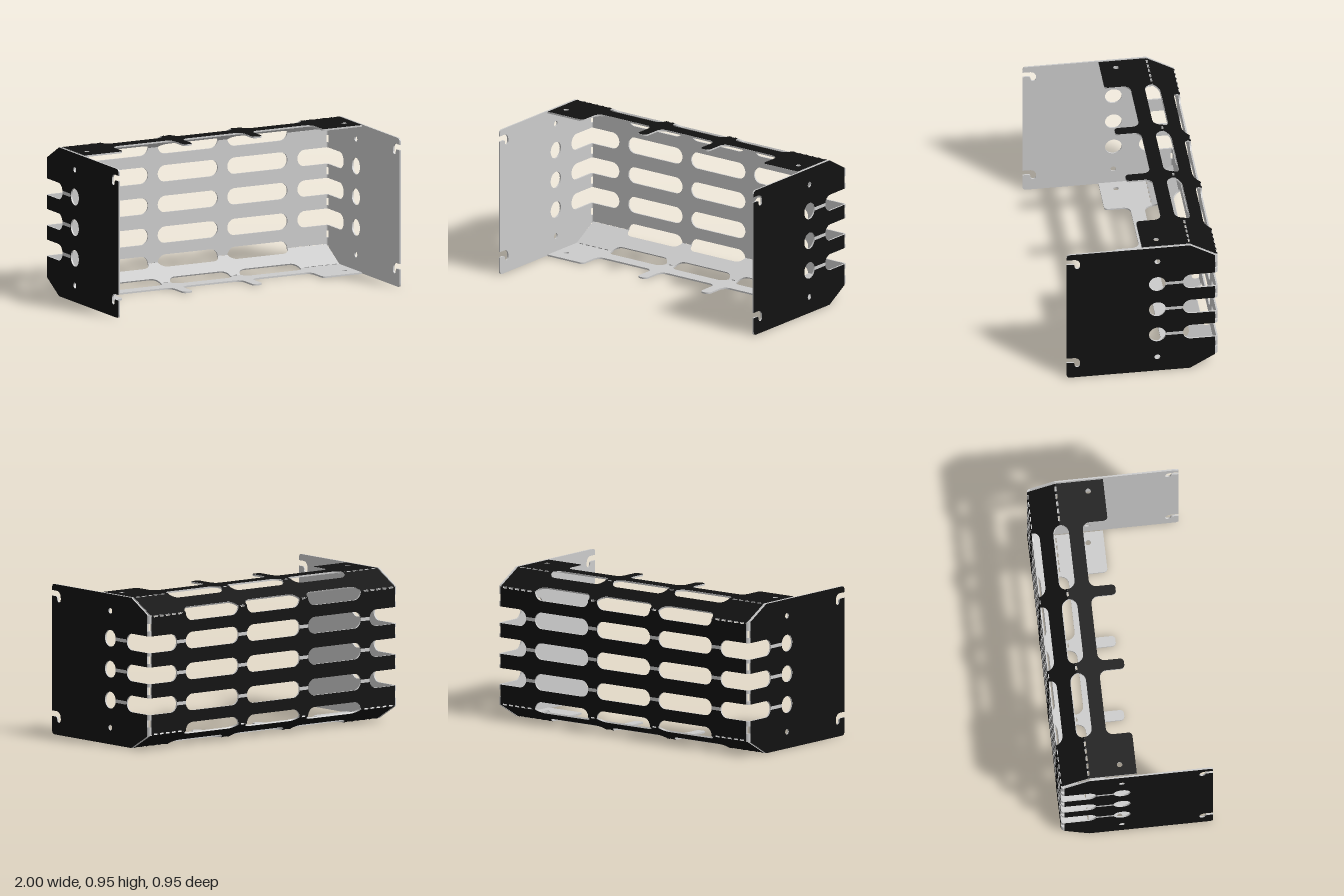
import * as THREE from 'three';

const T = 0.01, H = 0.945, W = 0.98, R = 0.0525;
const ROWS = [0.278, 0.4725, 0.667];
const SLOTS = [-0.4925, 0, 0.4925], SLOT_HALF = 0.2125;
const grey = new THREE.MeshStandardMaterial({ color: 0xcccccc });
const black = new THREE.MeshStandardMaterial({ color: 0x111111 });
const V2 = (x, y) => new THREE.Vector2(x, y);

// Points of one edge from a towards b, with rounded notches cut to its left.
// Each notch: centre along the edge, half width, depth, inner radius, mouth radius
function edge(a, b, notches = []) {
  const d = b.clone().sub(a).normalize(), n = V2(-d.y, d.x), pts = [a.clone()];
  const put = (t, s) => pts.push(a.clone().addScaledVector(d, t).addScaledVector(n, s));
  const arc = (t, s, r, from, to) => {
    const k = r > 0 ? 8 : 0;
    for (let i = 0; i <= k; i++) {
      const w = from + (to - from) * (k ? i / k : 0);
      put(t + r * Math.cos(w), s + r * Math.sin(w));
    }
  };
  const q = Math.PI / 2;
  for (const [c, h, depth, r, m = 0] of [...notches].sort((p, o) => p[0] - o[0])) {
    arc(c - h - m, m, m, -q, 0);
    arc(c - h + r, depth - r, r, 2 * q, q);
    arc(c + h - r, depth - r, r, q, 0);
    arc(c + h + m, m, m, 2 * q, 3 * q);
  }
  return pts;
}

function circle(x, y, r) {
  return new THREE.Path().absarc(x, y, r, 0, Math.PI * 2, true);
}

function slot(x, y, half, r) {
  const p = new THREE.Path();
  p.absarc(x - half + r, y, r, Math.PI * 1.5, Math.PI * 0.5, true);
  p.absarc(x + half - r, y, r, Math.PI * 0.5, -Math.PI * 0.5, true);
  p.closePath();
  return p;
}

// Sheet panel: grey metal with a black outer skin and bare grey strips
function panel(name, points, holes, origin, u, v, strips = []) {
  const shape = new THREE.Shape(points);
  shape.holes.push(...holes);
  const g = new THREE.Group();
  g.name = name;
  const sheet = new THREE.ExtrudeGeometry(shape, { depth: T, bevelEnabled: false, curveSegments: 16 });
  const add = (label, geo, mat, z) => {
    const m = new THREE.Mesh(geo.translate(0, 0, z), mat);
    m.name = label;
    g.add(m);
  };
  add(name + 'Sheet', sheet, grey, -T);
  add(name + 'Skin', new THREE.ShapeGeometry(shape, 16), black, 0.0007);
  for (const [x, y, w, h] of strips) {
    add(name + 'Strip', new THREE.PlaneGeometry(w, h).translate(x, y, 0), grey, 0.0015);
  }
  const U = new THREE.Vector3(...u), V = new THREE.Vector3(...v).normalize();
  const basis = new THREE.Matrix4().makeBasis(U, V, U.clone().cross(V));
  g.applyMatrix4(basis.setPosition(...origin));
  return g;
}

// Half-slots and perforation dashes along a bend
const bendNotches = SLOTS.map(x => [x + W, SLOT_HALF, R, R]);
for (const s of [-1, 1]) {
  for (let i = 0; i < 5; i++) bendNotches.push([W + s * (0.75 + i * 0.049), 0.016, 0.007, 0.003]);
  bendNotches.push([W + s * 0.246, 0.014, 0.007, 0.003]);
}

// Panel outline, notched on its four edges
function outline(h, top, sides = []) {
  const a = V2(-W, 0), b = V2(W, 0), c = V2(W, h), d = V2(-W, h);
  return [...edge(a, b, bendNotches), ...edge(b, c, sides), ...edge(c, d, top), ...edge(d, a, sides)];
}

function createBack() {
  const h = 0.745, holes = [], strips = [];
  for (const y of ROWS) {
    for (const x of SLOTS) holes.push(slot(x, y - 0.1, SLOT_HALF, R));
    for (const s of [-1, 1]) {
      strips.push([s * 0.246, y - 0.1, 0.068, 0.022], [s * 0.74, y - 0.1, 0.07, 0.022]);
    }
  }
  const ends = ROWS.map(y => [y - 0.1, R, W - 0.775, R]);
  return panel('backPanel', outline(h, bendNotches, ends), holes, [0, 0.1, -0.475], [-1, 0, 0], [0, 1, 0], strips);
}

// Sloping panel and horizontal flange with tabs
function createFlange(name) {
  const g = new THREE.Group();
  g.name = name;
  const slope = Math.hypot(0.175, 0.1);
  g.add(panel(name + 'Slope', outline(slope, bendNotches), [], [0, H - 0.1, -0.475], [-1, 0, 0], [0, 0.1, 0.175]));
  const tabs = SLOTS.map(x => [x + W, SLOT_HALF, 0.16, 0.045, 0.025]);
  const holes = [-1, 1].map(s => circle(s * 0.91, 0.2, 0.017));
  g.add(panel(name + 'Tabs', outline(0.3, tabs), holes, [0, H, -0.3], [-1, 0, 0], [0, 0, 1]));
  return g;
}

// Hooked mounting notch in the front edge of a side plate
function hook(dy) {
  const p = new THREE.Path();
  p.moveTo(-0.475, 0.905 + dy);
  p.lineTo(-0.432, 0.905 + dy);
  p.bezierCurveTo(-0.405, 0.905 + dy, -0.39, 0.888 + dy, -0.39, 0.862 + dy);
  p.lineTo(-0.39, 0.852 + dy);
  p.absarc(-0.4075, 0.852 + dy, 0.0175, 0, -Math.PI, true);
  p.quadraticCurveTo(-0.425, 0.87 + dy, -0.442, 0.87 + dy);
  p.lineTo(-0.475, 0.87 + dy);
  return p.getPoints(10);
}

function createSide(name) {
  const g = new THREE.Group();
  g.name = name;
  const corner = (x0, y0, cx, cy, x1, y1) =>
    new THREE.QuadraticBezierCurve(V2(x0, y0), V2(cx, cy), V2(x1, y1)).getPoints(5);
  const points = [
    ...corner(-0.475, 0.025, -0.475, 0, -0.45, 0), V2(0.3, 0),
    ...edge(V2(0.455, 0.09), V2(0.455, 0.855), ROWS.map(y => [y - 0.09, R, 0.2, R])),
    V2(0.455, 0.855), V2(0.3, H),
    ...corner(-0.45, H, -0.475, H, -0.475, H - 0.025),
    ...hook(0), ...hook(-0.757),
  ];
  const holes = ROWS.map(y => circle(0.095, y, 0.053));
  holes.push(circle(0.095, 0.105, 0.018), circle(0.095, 0.84, 0.018));
  const strips = ROWS.map(y => [0.201, y, 0.108, 0.022]);
  g.add(panel(name + 'Plate', points, holes, [0.9985, 0, 0], [0, 0, -1], [0, 1, 0], strips));

  // Rounded vertical bend, interrupted by slots and perforations
  const arc = new THREE.Shape();
  arc.absarc(0, 0, 0.02, 0, Math.PI / 2, false);
  arc.absarc(0, 0, 0.01, Math.PI / 2, 0, true);
  arc.closePath();
  const gaps = [[0.147, 0.192], [0.352, 0.398], [0.547, 0.593], [0.752, 0.798],
    ...ROWS.map(y => [y - R, y + R])].sort((a, b) => a[0] - b[0]);
  let y = 0.095;
  for (const [lo, hi] of [...gaps, [0.85, 0.85]]) {
    const geo = new THREE.ExtrudeGeometry(arc, { depth: lo - y, bevelEnabled: false, curveSegments: 6 });
    const m = new THREE.Mesh(geo.rotateX(-Math.PI / 2), grey);
    m.position.set(0.9785, y, -0.455);
    m.name = name + 'Bend';
    g.add(m);
    y = hi;
  }
  return g;
}

export function createModel() {
  const model = new THREE.Group();
  model.name = 'mountingBracket';
  const bottom = createFlange('bottomFlange');
  bottom.scale.y = -1;
  bottom.position.y = H;
  const right = createSide('rightSide');
  right.scale.x = -1;
  model.add(createBack(), createFlange('topFlange'), bottom, createSide('leftSide'), right);
  return model;
}
